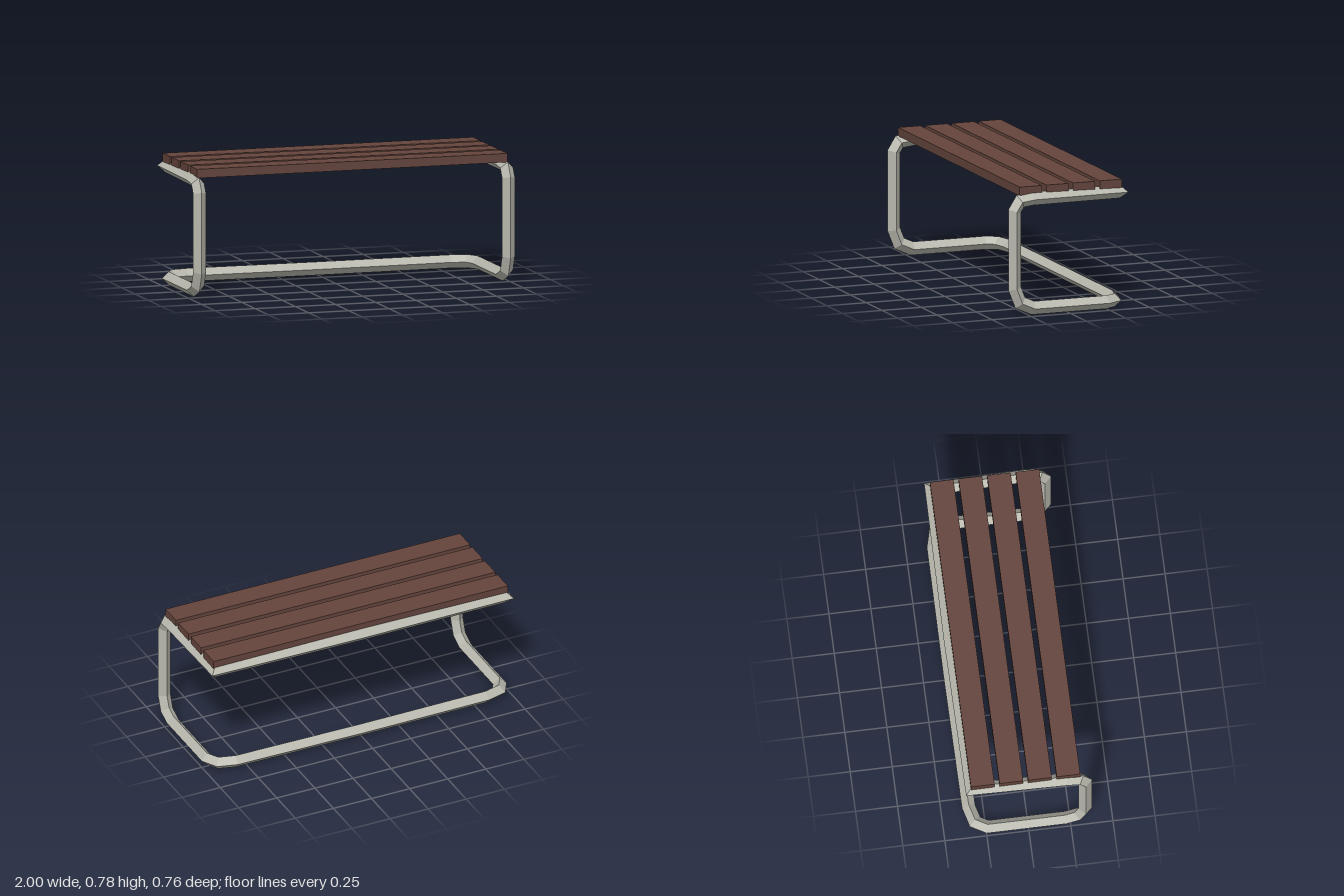
import * as THREE from 'three';

const V = (x, y, z) => new THREE.Vector3(x, y, z);

// Sweeps a four-sided diamond section round a closed path with mitred bends
function diamondTube(path, r) {
  const n = path.length;
  const dir = path.map((p, i) => path[(i + 1) % n].clone().sub(p).normalize());
  let ring = [V(0, r, 0), V(0, 0, -r), V(0, -r, 0), V(0, 0, r)].map((o) => o.add(path[0]));
  const rings = [ring];
  for (let i = 1; i < n; i++) {
    const d = dir[i - 1];
    const mitre = d.clone().add(dir[i]).normalize();
    ring = ring.map((v) => {
      const t = path[i].clone().sub(v).dot(mitre) / d.dot(mitre);
      return v.clone().addScaledVector(d, t);
    });
    rings.push(ring);
  }
  const pos = [];
  const add = (...vs) => vs.forEach((v) => pos.push(v.x, v.y, v.z));
  for (let i = 0; i < n; i++) {
    const a = rings[i], b = rings[(i + 1) % n];
    for (let k = 0; k < 4; k++) {
      const m = (k + 1) % 4;
      add(a[k], b[k], b[m], a[k], b[m], a[m]);
    }
  }
  const geo = new THREE.BufferGeometry();
  geo.setAttribute('position', new THREE.Float32BufferAttribute(pos, 3));
  geo.computeVertexNormals();
  return geo;
}

export function createModel() {
  const group = new THREE.Group();
  const metal = new THREE.MeshStandardMaterial({ color: 0xb7b7ad });
  metal.name = 'greyMetal';
  const wood = new THREE.MeshStandardMaterial({ color: 0x64443c });
  wood.name = 'brownWood';

  // One half of the frame: seat corner, front leg, floor runner, rear bend
  const half = [
    V(0.95, 0.702, -0.332),
    V(0.96, 0.702, 0.225),
    V(0.96, 0.692, 0.305),
    V(0.96, 0.636, 0.34),
    V(0.96, 0.168, 0.34),
    V(0.96, 0.08, 0.305),
    V(0.96, 0.044, 0.225),
    V(0.96, 0.044, -0.24),
    V(0.92, 0.044, -0.31),
    V(0.82, 0.043, -0.336),
  ];
  const mirrored = half.map((p) => V(-p.x, p.y, p.z)).reverse();
  const path = [V(0, 0.702, -0.34), ...half, V(0, 0.041, -0.34), ...mirrored];
  const frame = new THREE.Mesh(diamondTube(path, 0.04), metal);
  frame.name = 'tubeFrame';
  group.add(frame);

  // Seat slats
  for (let i = 0; i < 4; i++) {
    const slat = new THREE.Mesh(new THREE.BoxGeometry(1.93, 0.053, 0.14), wood);
    slat.position.set(0, 0.7515, 0.24 - i * 0.17);
    slat.name = 'seatSlat' + (i + 1);
    group.add(slat);
  }
  return group;
}
